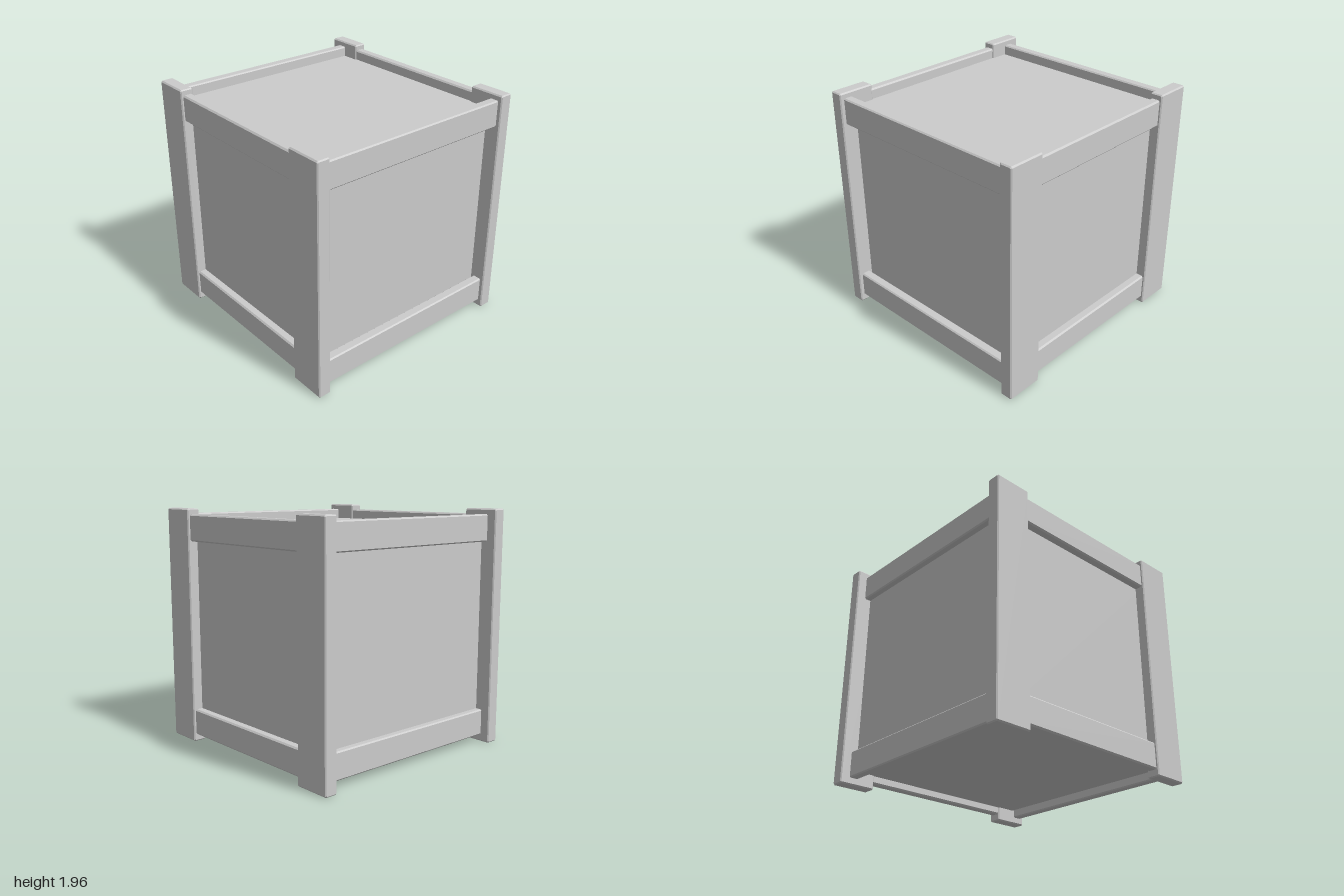
import * as THREE from 'three';

const material = new THREE.MeshStandardMaterial({ color: 0xcccccc, flatShading: true });

// Box with small chamfers on all edges
function chamferBox(w, h, d, c) {
  const x = w / 2 - c, y = h / 2 - c;
  const k = c * 0.6; // clipped corners of the face outline
  const shape = new THREE.Shape([
    [-x + k, -y], [x - k, -y], [x, -y + k], [x, y - k],
    [x - k, y], [-x + k, y], [-x, y - k], [-x, -y + k],
  ].map(([px, py]) => new THREE.Vector2(px, py)));
  const geo = new THREE.ExtrudeGeometry(shape, {
    depth: d - 2 * c, bevelEnabled: true, bevelThickness: c, bevelSize: c, bevelSegments: 1,
  });
  return geo.translate(0, 0, -d / 2 + c);
}

export function createModel() {
  const model = new THREE.Group();
  model.name = 'crate';

  const add = (name, geo, x, y, z) => {
    const mesh = new THREE.Mesh(geo, material);
    mesh.name = name;
    mesh.position.set(x, y, z);
    model.add(mesh);
  };

  // Inner box
  add('body', new THREE.BoxGeometry(1.76, 1.71, 1.73), 0, 0.975, 0);

  // Corner posts
  const post = chamferBox(0.11, 1.96, 0.31, 0.009);
  for (const [sideName, sx] of [['left', 1], ['right', -1]]) {
    add(sideName + 'FrontPost', post, sx * 0.91, 0.98, 0.845);
    add(sideName + 'BackPost', post, sx * 0.91, 0.98, -0.845);
  }

  // Horizontal rails between the posts, top and bottom
  const longRail = chamferBox(1.8, 0.22, 0.08, 0.01);
  const sideRail = chamferBox(0.08, 0.22, 1.46, 0.01);
  for (const [level, y] of [['Lower', 0.168], ['Upper', 1.805]]) {
    add('front' + level + 'Rail', longRail, 0, y, 0.925);
    add('back' + level + 'Rail', longRail, 0, y, -0.88);
    add('left' + level + 'Rail', sideRail, 0.905, y, 0);
    add('right' + level + 'Rail', sideRail, -0.905, y, 0);
  }

  return model;
}
